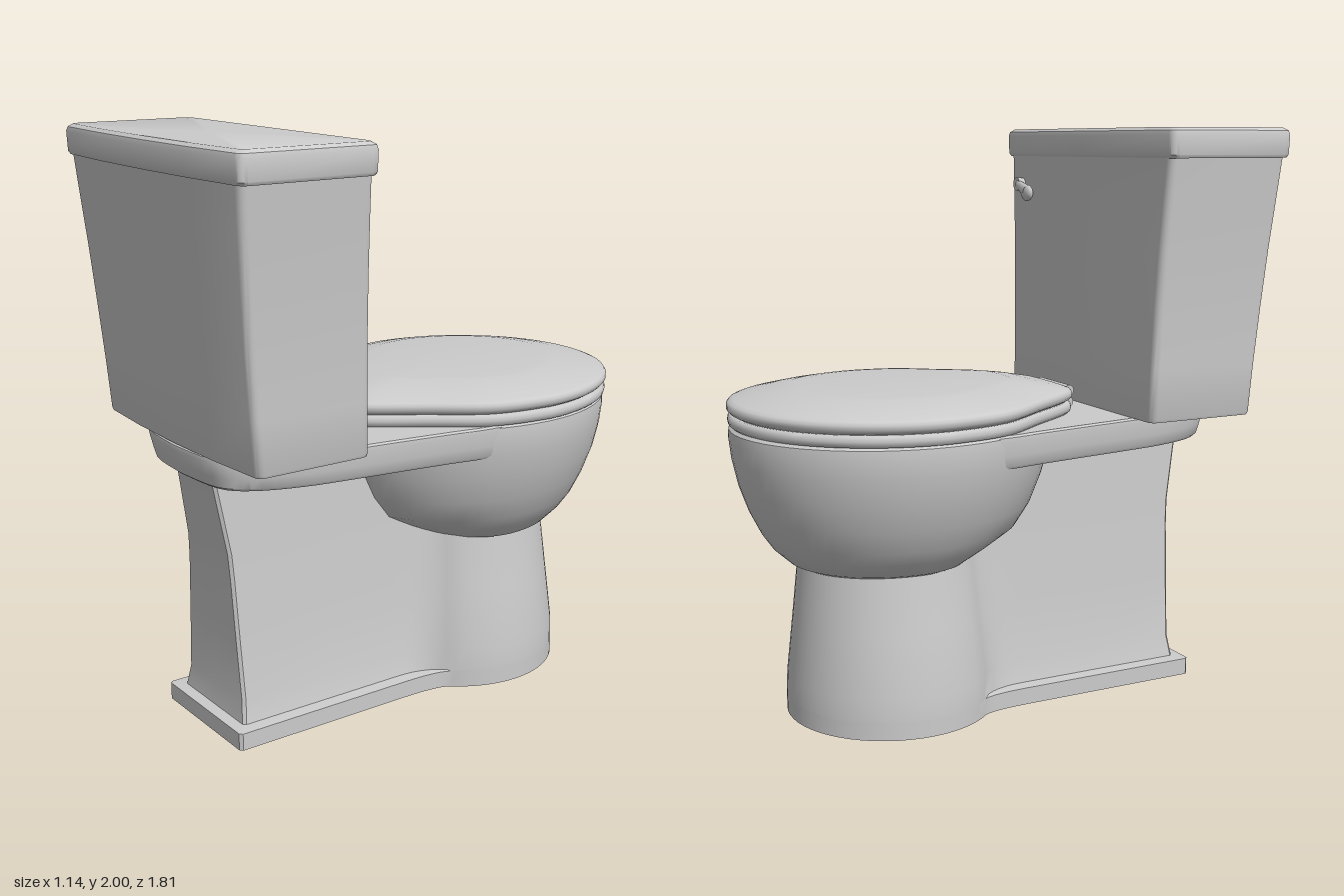
import * as THREE from 'three';
import { toCreasedNormals } from 'three/addons/utils/BufferGeometryUtils.js';

const material = new THREE.MeshStandardMaterial({ color: 0xcccccc });
const openMaterial = new THREE.MeshStandardMaterial({ color: 0xcccccc, side: THREE.DoubleSide });

// Complete a half outline (front to back, x >= 0, as [x, z]) by mirroring it
const mirror = (half) => [...half, ...half.slice(1, -1).reverse().map(([x, z]) => [-x, z])];

// Skin between horizontal rings: rows are { y, ring: [[x, z], ...] } from bottom to top
function loft(rows, { bottom = true, top = true, crease = 0.6 } = {}) {
  const n = rows[0].ring.length, pos = [], index = [];
  for (const { y, ring } of rows) for (const [x, z] of ring) pos.push(x, y, z);
  for (let r = 0; r < rows.length - 1; r++) {
    for (let i = 0; i < n; i++) {
      const a = r * n + i, b = r * n + (i + 1) % n;
      index.push(a, a + n, b, b, a + n, b + n);
    }
  }
  const cap = (r, up) => {
    const { y, ring } = rows[r], c = pos.length / 3;
    const zs = ring.map((p) => p[1]);
    pos.push(0, y, (Math.min(...zs) + Math.max(...zs)) / 2);
    for (let i = 0; i < n; i++) {
      const a = r * n + i, b = r * n + (i + 1) % n;
      index.push(c, up ? b : a, up ? a : b);
    }
  };
  if (bottom) cap(0, false);
  if (top) cap(rows.length - 1, true);
  const g = new THREE.BufferGeometry();
  g.setAttribute('position', new THREE.Float32BufferAttribute(pos, 3));
  g.setIndex(index);
  g.computeVertexNormals();
  return toCreasedNormals(g, crease);
}

// Box outline with rounded corners and a bowed back
function boxRing(w, zf, zb, r = 0.025, bow = 0.02) {
  const half = [[0, zf]];
  const corner = (cx, cz, start) => {
    for (let i = 0; i <= 4; i++) {
      const a = start + (i / 4) * Math.PI / 2;
      half.push([cx + r * Math.sin(a), cz - r * Math.cos(a)]);
    }
  };
  corner(w - r, zf + r, 0);
  corner(w - r, zb - r, Math.PI / 2);
  half.push([w / 2, zb + bow * 0.75], [0, zb + bow]);
  return mirror(half);
}

// Egg outline with its widest point at z = zc
function eggRing(w, zf, zb, zc = -0.36) {
  const half = [];
  for (let i = 0; i <= 32; i++) {
    const a = (i / 32) * Math.PI, c = Math.cos(a);
    half.push([w * Math.sin(a), zc - c * (c > 0 ? zc - zf : zb - zc)]);
  }
  return mirror(half);
}

// Seat outline: round front, straight taper to a narrow back
function seatRing(s) {
  const half = [];
  for (let i = 0; i < 20; i++) {
    const a = (i / 20) * Math.PI / 2;
    half.push([0.513 * Math.sin(a), -0.36 - 0.548 * Math.cos(a)]);
  }
  const back = new THREE.SplineCurve([[0.513, -0.36], [0.495, -0.22], [0.45, -0.095], [0.335, 0.065],
    [0.225, 0.222], [0.16, 0.275], [0.08, 0.287], [0, 0.288]].map((p) => new THREE.Vector2(...p)));
  for (const p of back.getPoints(28)) half.push([p.x, p.y]);
  return mirror(half.map(([x, z]) => [x * s, -0.33 + (z + 0.33) * s]));
}

// Keyhole outline: oval column at the front blending into a narrow trunk behind
function pedestalRing(w, zf, tw, zb) {
  const half = [], zc = -0.36;
  for (let i = 0; i <= 20; i++) {
    const a = (i / 20) * 2.25;
    half.push([w * Math.sin(a), zc - (zc - zf) * Math.cos(a)]);
  }
  const [x, z] = half[half.length - 1];
  const fillet = new THREE.QuadraticBezierCurve(new THREE.Vector2(x, z),
    new THREE.Vector2(tw, z + (x - tw) * 0.8), new THREE.Vector2(tw, 0.06));
  for (const p of fillet.getPoints(8).slice(1)) half.push([p.x, p.y]);
  half.push([tw, zb / 2], [tw, zb - 0.01], [tw - 0.01, zb], [0, zb]);
  return mirror(half);
}

export function createModel() {
  const model = new THREE.Group();
  const add = (name, geometry, mat = material) => {
    const mesh = new THREE.Mesh(geometry, mat);
    mesh.name = name;
    model.add(mesh);
    return mesh;
  };
  const rows = (fn, list) => list.map(([y, ...args]) => ({ y, ring: fn(...args) }));

  // Hollow pedestal with its stepped foot
  add('pedestal', loft(rows(pedestalRing, [
    [0, 0.36, -0.725, 0.245, 0.74],
    [0.06, 0.36, -0.725, 0.245, 0.74],
    [0.064, 0.36, -0.725, 0.2, 0.7],
    [0.14, 0.357, -0.722, 0.184, 0.69],
    [0.35, 0.325, -0.7, 0.165, 0.695],
    [0.56, 0.29, -0.68, 0.148, 0.7],
    [0.65, 0.28, -0.67, 0.142, 0.705],
    [0.92, 0.25, -0.64, 0.125, 0.75],
  ]), { bottom: false, top: false }), openMaterial);

  // Bowl
  add('bowl', loft(rows(eggRing, [
    [0.53, 0.27, -0.67, -0.2],
    [0.55, 0.315, -0.715, -0.1],
    [0.6, 0.362, -0.77, 0],
    [0.65, 0.397, -0.805, 0.09],
    [0.73, 0.435, -0.845, 0.145],
    [0.82, 0.467, -0.877, 0.18],
    [0.91, 0.488, -0.897, 0.21],
    [0.98, 0.496, -0.905, 0.22],
    [1.01, 0.494, -0.903, 0.22],
    [1.02, 0.484, -0.893, 0.21],
  ])));

  // Trap hanging inside the pedestal
  const trap = add('trap', new THREE.SphereGeometry(0.11, 24, 16));
  trap.scale.y = 1.3;
  trap.position.set(0, 0.42, -0.26);

  // Deck joining bowl and tank
  const deckCurve = new THREE.SplineCurve([[0.47, -0.3], [0.462, -0.12], [0.44, 0], [0.41, 0.19], [0.382, 0.38],
    [0.35, 0.56], [0.29, 0.72], [0.2, 0.8], [0, 0.82]].map((p) => new THREE.Vector2(...p)));
  const deckHalf = [[0, -0.3], ...deckCurve.getPoints(32).map((p) => [p.x, p.y])];
  const deckRing = (s) => mirror(deckHalf.map(([x, z]) => [x * s, z * s]));
  add('deck', loft(rows(deckRing, [
    [0.905, 0.955], [0.915, 0.972], [0.95, 0.985], [1.0, 1], [1.013, 0.998], [1.02, 0.985],
  ])));

  // Seat and domed lid
  add('seat', loft(rows(seatRing, [
    [1.02, 0.975], [1.027, 0.99], [1.04, 0.995], [1.054, 0.99], [1.06, 0.975],
  ]), { crease: 0.9 }));
  add('seatLid', loft(rows(seatRing, [
    [1.06, 0.96], [1.068, 0.985], [1.078, 1], [1.092, 1], [1.102, 0.988],
    [1.108, 0.96], [1.128, 0.8], [1.142, 0.66], [1.145, 0.6],
  ]), { crease: 0.9 }));

  // Hinge barrels
  for (const [y, r] of [[1.083, 0.02], [1.042, 0.018]]) {
    const hinge = add('hinge', new THREE.CylinderGeometry(r, r, 0.205, 16));
    hinge.rotation.z = Math.PI / 2;
    hinge.position.set(0, y, 0.298);
  }

  // Tank, flaring toward the top, and its cover
  add('tank', loft(rows(boxRing, [
    [1.02, 0.492, 0.392, 0.797],
    [1.03, 0.496, 0.39, 0.8],
    [1.2, 0.499, 0.393, 0.814],
    [1.4, 0.507, 0.397, 0.831],
    [1.6, 0.52, 0.402, 0.847],
    [1.78, 0.536, 0.407, 0.862],
    [1.91, 0.548, 0.41, 0.872],
  ])));
  add('tankCover', loft(rows(boxRing, [
    [1.9, 0.562, 0.408, 0.874],
    [1.91, 0.568, 0.402, 0.88],
    [1.975, 0.57, 0.4, 0.882],
    [1.99, 0.566, 0.404, 0.878],
    [2.0, 0.552, 0.418, 0.864],
  ])));

  // Flush lever: pivot, arm and rounded grip
  const pivot = add('leverPivot', new THREE.CylinderGeometry(0.022, 0.025, 0.03, 20));
  pivot.rotation.x = Math.PI / 2;
  pivot.position.set(0.45, 1.795, 0.395);
  const arm = add('leverArm', new THREE.CylinderGeometry(0.026, 0.016, 0.075, 16));
  arm.rotation.z = Math.PI / 2 + 0.38;
  arm.position.set(0.415, 1.782, 0.385);
  arm.scale.z = 0.6;
  const grip = add('leverGrip', new THREE.SphereGeometry(0.036, 20, 14));
  grip.scale.set(1, 0.85, 0.45);
  grip.position.set(0.376, 1.763, 0.386);

  return model;
}
